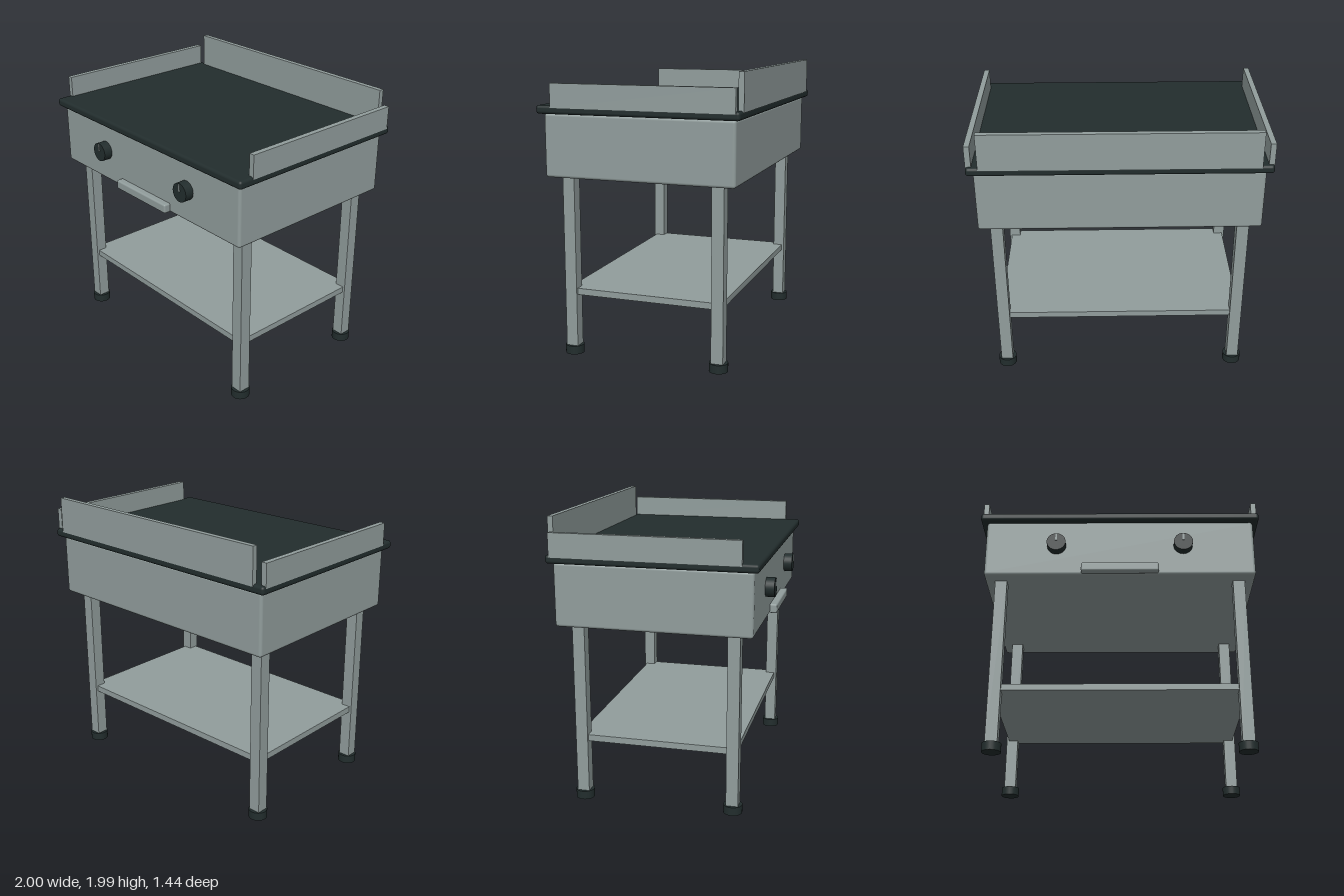
import * as THREE from 'three';
import { RoundedBoxGeometry } from 'three/addons/geometries/RoundedBoxGeometry.js';

export function createModel() {
  const model = new THREE.Group();
  model.name = 'griddleTable';
  const steel = new THREE.MeshStandardMaterial({ name: 'brushedSteel', color: 0x919d9c });
  const iron = new THREE.MeshStandardMaterial({ name: 'darkIron', color: 0x222d2d });

  const add = (name, geometry, material, x = 0, y = 0, z = 0) => {
    const mesh = new THREE.Mesh(geometry, material);
    mesh.name = name;
    mesh.position.set(x, y, z);
    model.add(mesh);
    return mesh;
  };
  // Box given by its extents, with an optional rounded edge
  const box = (name, material, [x0, x1], [y0, y1], [z0, z1], radius = 0) => {
    const size = [x1 - x0, y1 - y0, z1 - z0];
    const geometry = radius
      ? new RoundedBoxGeometry(...size, 3, radius)
      : new THREE.BoxGeometry(...size);
    return add(name, geometry, material, (x0 + x1) / 2, (y0 + y1) / 2, (z0 + z1) / 2);
  };

  // Burner housing and cooking plate
  box('housing', steel, [-0.957, 0.957], [1.26, 1.692], [-0.68, 0.65], 0.02);
  box('cookingPlate', iron, [-1, 1], [1.69, 1.748], [-0.718, 0.688], 0.02);

  // Splash guards
  box('backGuard', steel, [-0.918, 0.918], [1.735, 1.99], [-0.72, -0.683]);
  for (const s of [-1, 1]) {
    const xs = s > 0 ? [0.962, 1] : [-1, -0.962];
    box('sideGuard', steel, xs, [1.732, 1.895], [-0.69, 0.58]);
  }

  // Legs with round feet
  for (const x of [-0.845, 0.845]) {
    for (const z of [-0.545, 0.515]) {
      box('leg', steel, [x - 0.042, x + 0.042], [0.03, 1.28], [z - 0.042, z + 0.042]);
      add('foot', new THREE.CylinderGeometry(0.065, 0.065, 0.06, 24), iron, x, 0.03, z);
    }
  }

  // Lower shelf
  box('shelf', steel, [-0.87, 0.87], [0.43, 0.475], [-0.57, 0.54]);

  // Control knobs with pointer marks
  for (const x of [-0.45, 0.45]) {
    const knob = add('knob', new THREE.CylinderGeometry(0.067, 0.067, 0.065, 32), iron, x, 1.492, 0.68);
    knob.rotation.x = Math.PI / 2;
    box('knobPointer', steel, [x - 0.006, x + 0.006], [1.5, 1.552], [0.708, 0.72]);
  }

  // Grease tray handle
  box('trayHandle', steel, [-0.273, 0.273], [1.265, 1.33], [0.645, 0.7], 0.012);

  return model;
}
